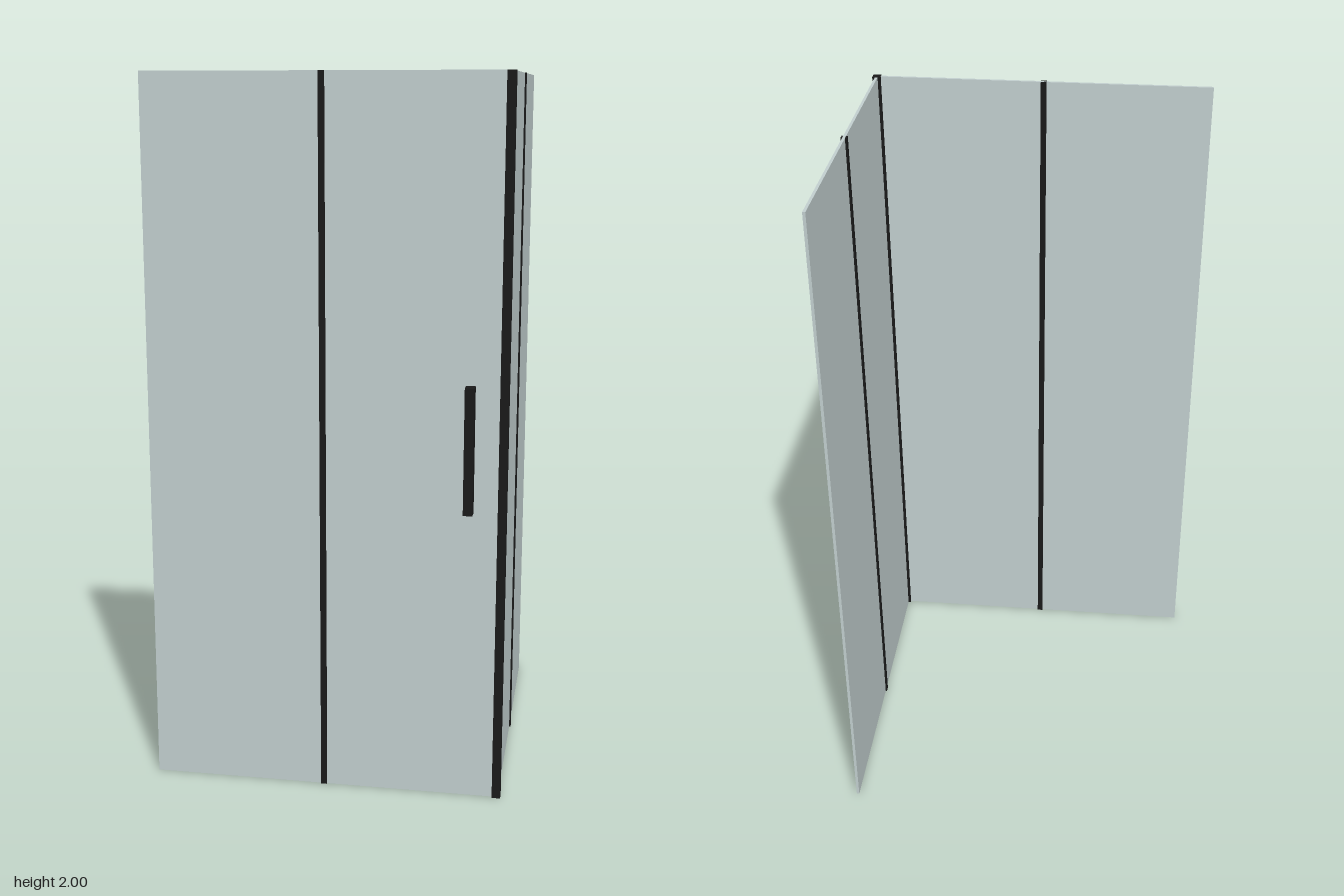
import * as THREE from 'three';

export function createModel() {
  const model = new THREE.Group();
  model.name = 'cornerShowerScreen';
  const glass = new THREE.MeshStandardMaterial({ color: 0xc3d0d0 });
  const black = new THREE.MeshStandardMaterial({ color: 0x1a1a1a });

  // Box given by its limits on each axis
  const box = (name, material, [x0, x1], [y0, y1], [z0, z1]) => {
    const mesh = new THREE.Mesh(new THREE.BoxGeometry(x1 - x0, y1 - y0, z1 - z0), material);
    mesh.position.set((x0 + x1) / 2, (y0 + y1) / 2, (z0 + z1) / 2);
    mesh.name = name;
    model.add(mesh);
  };
  const around = (c, width) => [c - width / 2, c + width / 2];

  const full = [0, 2];
  const cornerX = 0.488, cornerZ = 0.46;   // centre of the corner post
  const seamX = (cornerX - 0.5) / 2, seamZ = (cornerZ - 0.5) / 2;
  const thick = 0.008, strip = 0.017, post = 0.024;

  // Front wall: fixed pane and door
  box('frontFixedPane', glass, [-0.5, seamX], full, around(cornerZ, thick));
  box('frontDoorPane', glass, [seamX, cornerX], full, around(cornerZ, thick));
  box('frontSeamStrip', black, around(seamX, strip), full, around(cornerZ, strip));

  // Side wall: two panes running back
  box('sideRearPane', glass, around(cornerX, thick), full, [-0.5, seamZ]);
  box('sideFrontPane', glass, around(cornerX, thick), full, [seamZ, cornerZ]);
  box('sideSeamStrip', black, around(cornerX, strip), full, around(seamZ, strip));

  // Corner post and door handle
  box('cornerPost', black, around(cornerX, post), full, around(cornerZ, post));
  box('doorHandle', black, around(0.397, 0.026), [0.83, 1.18], [cornerZ + thick / 2, 0.5]);

  return model;
}
